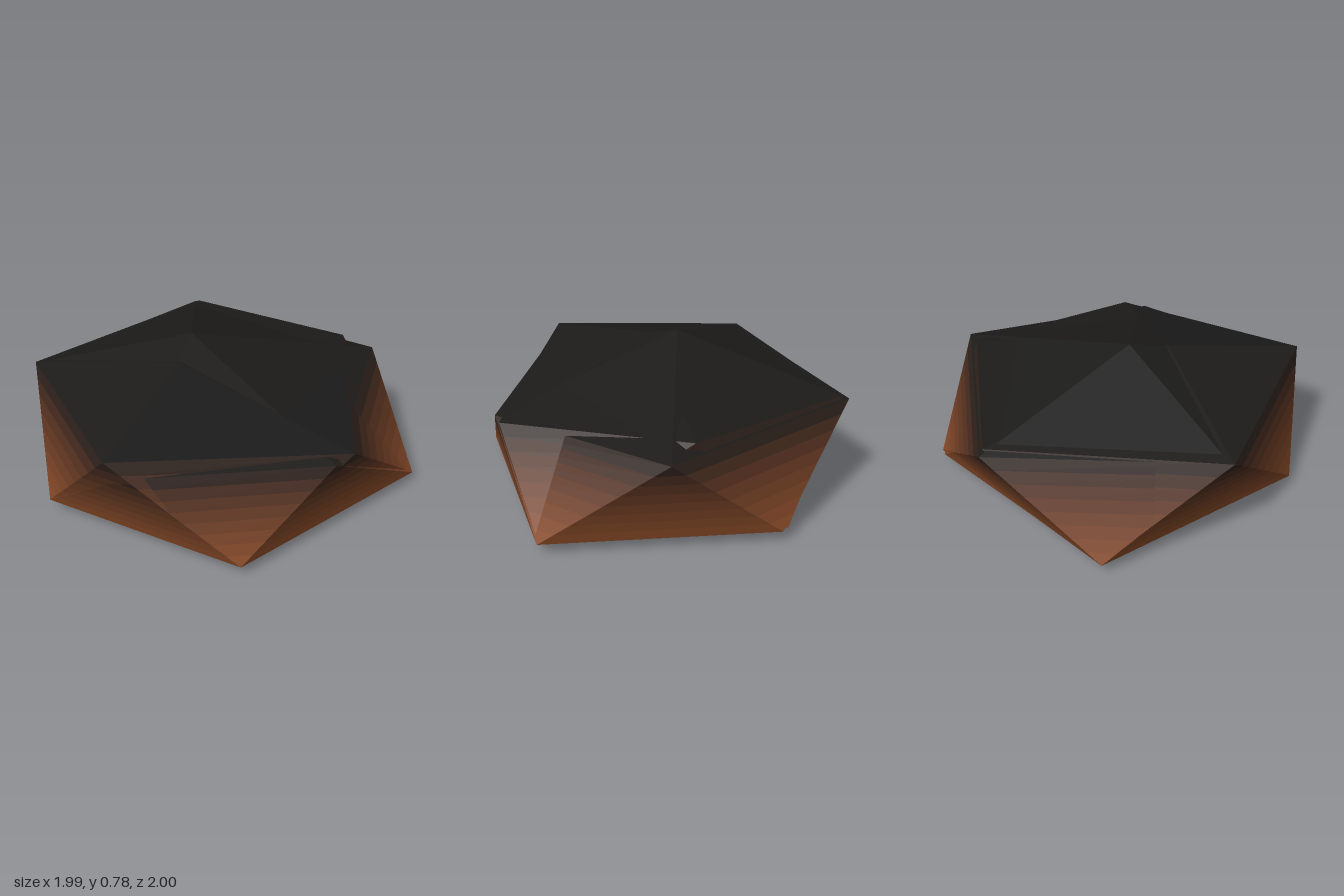
import * as THREE from 'three';

const EARTH = new THREE.Color(0x8a4b28);
const SOOT = new THREE.Color(0x1c1b1a);
const BANDS = 8;

// Two nearly matching faceted shells that poke through each other.
// foot and shoulder run left, front, right, back; shoulder i sits between feet i and i + 1.
const SHELLS = [
  {
    name: 'tallShell',
    apex: [-0.07, 0.78, 0.07],
    base: [0.1, 0, 0.02],
    foot: [[-1, 0.06, 0.02], [-0.2, 0.06, 0.98], [0.87, 0.06, 0.62], [0.98, 0.06, -0.62], [-0.16, 0.06, -1]],
    shoulder: [[-0.74, 0.54, 0.62], [0.41, 0.5, 0.94], [0.98, 0.45, 0.08], [0.41, 0.51, -0.93], [-0.77, 0.51, -0.61]],
  },
  {
    name: 'lowShell',
    apex: [0.04, 0.72, 0.27],
    base: [0.1, 0.01, 0.02],
    foot: [[-0.99, 0.063, 0.02], [-0.2, 0.063, 0.98], [0.86, 0.063, 0.62], [0.97, 0.063, -0.62], [-0.2, 0.063, -0.98]],
    shoulder: [[-0.75, 0.545, 0.64], [0.33, 0.585, 1], [0.99, 0.465, -0.05], [0.25, 0.56, -0.85], [-0.73, 0.53, -0.6]],
  },
];

function facetMesh(name, points, color) {
  const geometry = new THREE.BufferGeometry().setFromPoints(points);
  geometry.computeVertexNormals();
  const material = new THREE.MeshStandardMaterial({ color, flatShading: true });
  const mesh = new THREE.Mesh(geometry, material);
  mesh.name = name;
  return mesh;
}

function buildShell(spec) {
  const shell = new THREE.Group();
  shell.name = spec.name;
  const vec = (p) => new THREE.Vector3(...p);
  const foot = spec.foot.map(vec);
  const shoulder = spec.shoulder.map(vec);
  const apex = vec(spec.apex);
  const base = vec(spec.base);
  const n = foot.length;

  // Crown and underside fans
  const crown = [];
  const underside = [];
  for (let i = 0; i < n; i++) {
    const j = (i + 1) % n;
    crown.push(shoulder[i], shoulder[j], apex);
    underside.push(foot[j], foot[i], base);
  }
  shell.add(facetMesh('crown', crown, SOOT));
  shell.add(facetMesh('underside', underside, EARTH));

  // Flank triangles, cut into bands that darken toward the crown
  for (let k = 0; k < BANDS; k++) {
    const t0 = k / BANDS;
    const t1 = (k + 1) / BANDS;
    const points = [];
    const strip = (lowA, lowB, highA, highB) => {
      const a = lowA.clone().lerp(highA, t0);
      const b = lowB.clone().lerp(highB, t0);
      const c = lowB.clone().lerp(highB, t1);
      const d = lowA.clone().lerp(highA, t1);
      if (a.distanceTo(b) > 1e-6) points.push(a, b, c);
      if (c.distanceTo(d) > 1e-6) points.push(a, c, d);
    };
    for (let i = 0; i < n; i++) {
      const j = (i + 1) % n;
      strip(foot[i], foot[j], shoulder[i], shoulder[i]);
      strip(foot[j], foot[j], shoulder[i], shoulder[j]);
    }
    const color = new THREE.Color().lerpColors(EARTH, SOOT, (k + 0.5) / BANDS);
    shell.add(facetMesh('flankBand', points, color));
  }
  return shell;
}

export function createModel() {
  const rock = new THREE.Group();
  rock.name = 'rock';
  for (const spec of SHELLS) rock.add(buildShell(spec));
  return rock;
}
